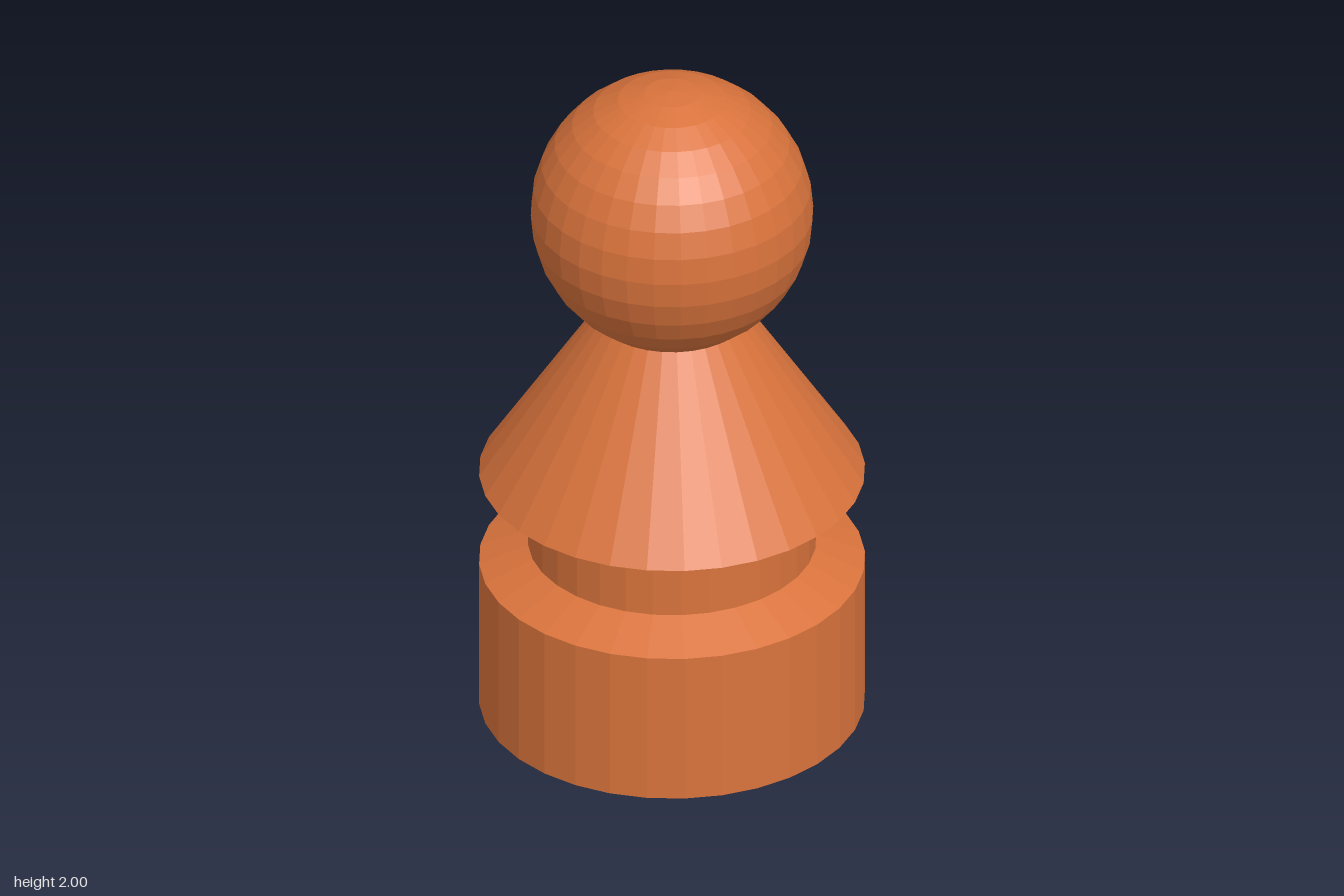
import * as THREE from 'three';

const SIDES = 32;

export function createModel() {
  const group = new THREE.Group();
  group.name = 'pawn';
  const material = new THREE.MeshStandardMaterial({ color: 0xd9733c, flatShading: true });

  const add = (name, geometry, y = 0) => {
    const mesh = new THREE.Mesh(geometry, material);
    mesh.name = name;
    mesh.position.y = y;
    group.add(mesh);
  };

  // Turned body: drum base, bevel, narrow waist, flared skirt and neck
  const profile = [
    [0, 0], [0.542, 0], [0.542, 0.46],
    [0.405, 0.52], [0.405, 0.69],
    [0.542, 0.75], [0.207, 1.27], [0, 1.27],
  ].map(([r, y]) => new THREE.Vector2(r, y));
  add('body', new THREE.LatheGeometry(profile, SIDES));

  // Ball head resting in the neck
  add('head', new THREE.SphereGeometry(0.397, SIDES, SIDES / 2), 1.603);

  return group;
}
